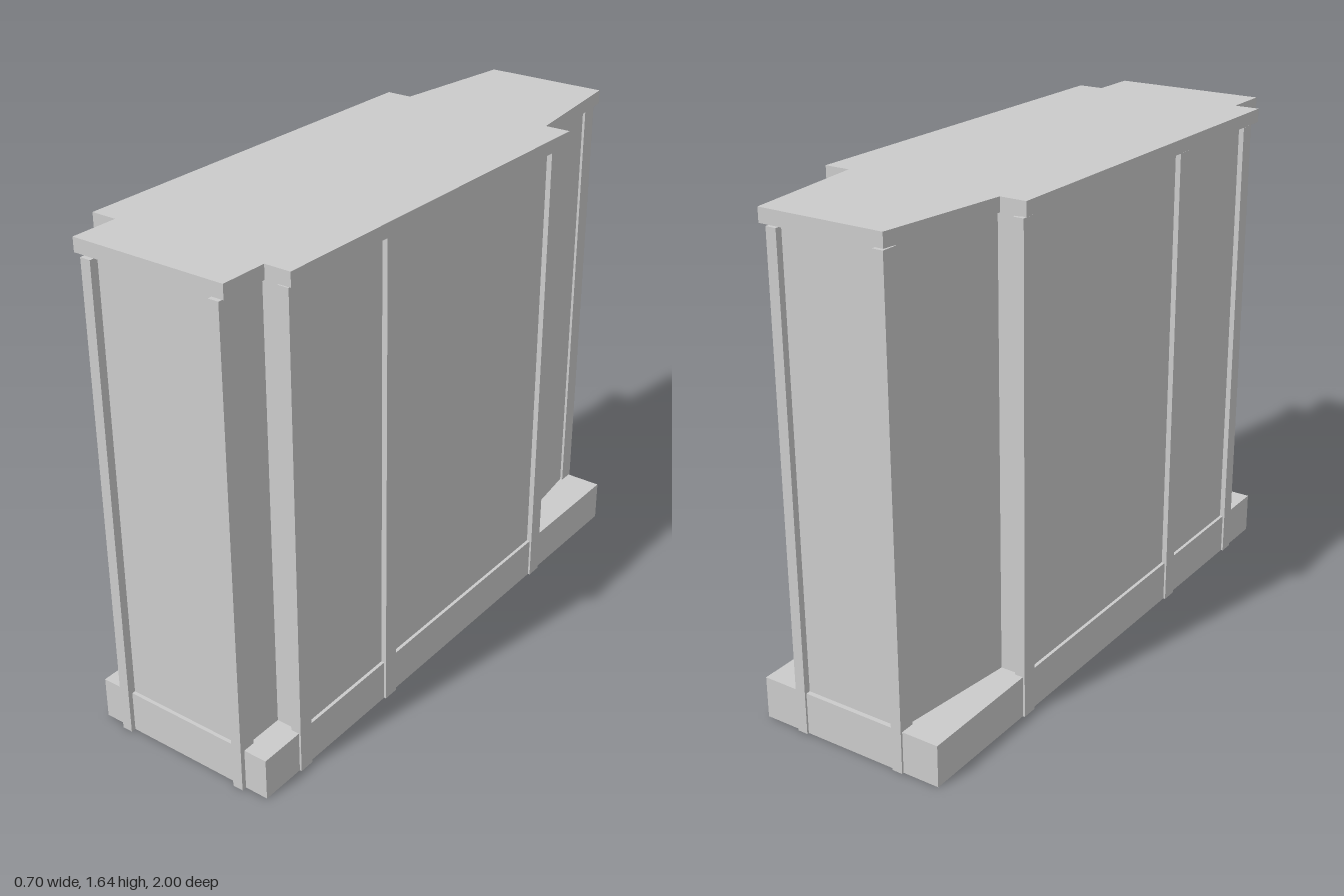
import * as THREE from 'three';

const material = new THREE.MeshStandardMaterial({ color: 0xcccccc, flatShading: true, side: THREE.DoubleSide });

// Mirrors a half outline of [x, z] points across x = 0
function mirrored(half) {
  return [...half, ...half.slice().reverse().map(([x, z]) => [-x, z])];
}

// Extrudes an [x, z] outline upward from y0 to y1, with an optional hole
function prism(name, outline, y0, y1, hole) {
  const toPoints = (pts) => pts.map(([x, z]) => new THREE.Vector2(x, -z));
  const shape = new THREE.Shape(toPoints(outline));
  if (hole) shape.holes.push(new THREE.Path(toPoints(hole)));
  const geometry = new THREE.ExtrudeGeometry(shape, { depth: y1 - y0, bevelEnabled: false });
  geometry.rotateX(-Math.PI / 2).translate(0, y0, 0);
  const mesh = new THREE.Mesh(geometry, material);
  mesh.name = name;
  return mesh;
}

export function createModel() {
  const model = new THREE.Group();
  model.name = 'cabinet';

  // Stepped top with a tapered rear end
  const top = mirrored([[0.265, 0.995], [0.265, 0.835], [0.352, 0.835], [0.352, -0.56], [0.265, -0.56], [0.212, -1]]);
  model.add(prism('topSlab', top, 1.6, 1.645));

  // Body panels, set in from the top
  const body = mirrored([[0.235, 0.965], [0.235, 0.81], [0.315, 0.81], [0.315, -0.535], [0.24, -0.535], [0.187, -0.965]]);
  model.add(prism('body', body, 0.13, 1.6));

  // Thin body walls continue down inside the hollow plinth
  const inner = body.map(([x, z]) => [x - Math.sign(x) * 0.005, z - Math.sign(z) * 0.005]);
  model.add(prism('innerWalls', body, 0.005, 0.13, inner));

  // Rectangular plinth, open underneath
  const rect = (x, front, back) => mirrored([[x, front], [x, back]]);
  const outer = rect(0.326, 0.977, -0.98);
  model.add(prism('plinthSkirt', outer, 0, 0.13, rect(0.317, 0.968, -0.971)));
  model.add(prism('plinthTop', outer, 0.13, 0.14));

  // Upright posts: outer x and the z range of each, on both sides
  const posts = [
    ['frontPost', 0.245, 0.935, 0.993],
    ['sideFrontPost', 0.333, 0.77, 0.822],
    ['sideMiddlePost', 0.333, 0.335, 0.39],
    ['sideRearPost', 0.333, -0.545, -0.49],
    ['backPost', 0.2, -0.987, -0.932],
  ];
  const width = 0.036;
  const height = 1.59;
  for (const [name, x, z0, z1] of posts) {
    for (const side of [-1, 1]) {
      const post = new THREE.Mesh(new THREE.BoxGeometry(width, height, z1 - z0), material);
      post.position.set(side * (x - width / 2), height / 2, (z0 + z1) / 2);
      post.name = (side > 0 ? 'left ' : 'right ') + name;
      model.add(post);
    }
  }
  return model;
}
